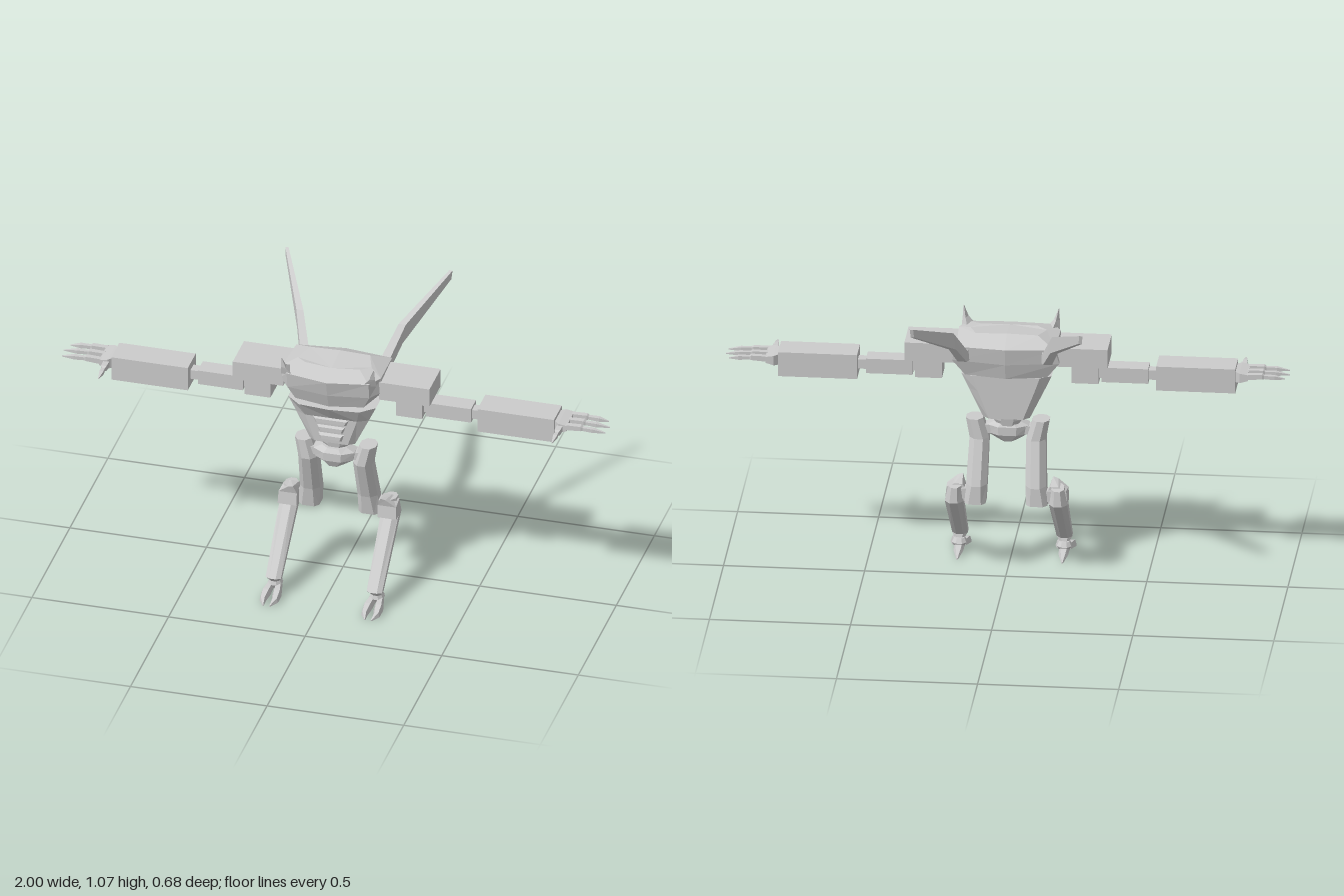
import * as THREE from 'three';

const material = new THREE.MeshStandardMaterial({ color: 0xcccccc, flatShading: true });

function add(parent, name, geometry) {
  const mesh = new THREE.Mesh(geometry, material);
  mesh.name = name;
  parent.add(mesh);
  return mesh;
}

// Closed faceted solid through rings of [x, y, z]; winding is corrected by signed volume
function loft(rings) {
  const n = rings[0].length, tris = [];
  for (let r = 0; r < rings.length - 1; r++) {
    for (let i = 0; i < n; i++) {
      const j = (i + 1) % n, a = rings[r], b = rings[r + 1];
      tris.push([a[i], a[j], b[j]], [a[i], b[j], b[i]]);
    }
  }
  const first = rings[0], last = rings[rings.length - 1];
  for (let i = 1; i < n - 1; i++) {
    tris.push([first[0], first[i + 1], first[i]], [last[0], last[i], last[i + 1]]);
  }
  const v = p => new THREE.Vector3(...p);
  const volume = tris.reduce((sum, [a, b, c]) => sum + v(a).dot(v(b).cross(v(c))), 0);
  const flat = tris.flatMap(([a, b, c]) => (volume < 0 ? [...a, ...c, ...b] : [...a, ...b, ...c]));
  const g = new THREE.BufferGeometry();
  g.setAttribute('position', new THREE.Float32BufferAttribute(flat, 3));
  g.computeVertexNormals();
  return g;
}

// Mirror-symmetric ring from half outline points [x, y, z], front centre to back centre
const sym = half => [...half, ...half.slice(1, -1).reverse().map(([x, y, z]) => [-x, y, z])];

// Level ring with cut corners; tilt raises the front edge and lowers the back
function oct(x0, x1, z0, z1, y, tilt = 0, cut = 0.28) {
  const cx = (x1 - x0) * cut, cz = (z1 - z0) * cut, zm = (z0 + z1) / 2;
  return [[x0 + cx, z0], [x1 - cx, z0], [x1, z0 + cz], [x1, z1 - cz],
    [x1 - cx, z1], [x0 + cx, z1], [x0, z1 - cz], [x0, z0 + cz]]
    .map(([x, z]) => [x, y + (z - zm) * tilt, z]);
}

// Upright rectangle across the x axis
const slab = (x, y, z, h, d) => [[x, y - h / 2, z - d / 2], [x, y + h / 2, z - d / 2],
  [x, y + h / 2, z + d / 2], [x, y - h / 2, z + d / 2]];

function box(parent, name, x0, x1, y0, y1, z0, z1) {
  const g = new THREE.BoxGeometry(Math.abs(x1 - x0), y1 - y0, z1 - z0);
  return add(parent, name, g.translate((x0 + x1) / 2, (y0 + y1) / 2, (z0 + z1) / 2));
}

function buildBody(root) {
  const body = new THREE.Group();
  body.name = 'body';
  root.add(body);
  add(body, 'upperChest', loft([
    sym([[0, .765, .19], [.125, .775, .18], [.15, .785, .13], [.145, .76, .01], [0, .757, -.01]]),
    sym([[0, .82, .21], [.15, .825, .195], [.188, .83, .145], [.19, .82, -.005], [0, .815, -.025]]),
    sym([[0, .88, .225], [.15, .885, .205], [.18, .885, .15], [.175, .875, -.015], [0, .876, -.035]]),
    sym([[0, .9, .15], [.1, .903, .14], [.135, .9, .11], [.11, .907, .04], [0, .91, .04]]),
  ]));
  box(body, 'waistJoint', -.11, .11, .745, .78, .03, .15);
  add(body, 'torso', loft([
    sym([[0, .757, .2], [.11, .757, .19], [.16, .757, .145], [.16, .757, .03], [.12, .757, .007], [0, .757, .007]]),
    sym([[0, .7, .16], [.095, .7, .16], [.133, .7, .14], [.133, .7, .03], [.1, .7, .007], [0, .7, .007]]),
    sym([[0, .596, .155], [.06, .596, .155], [.083, .596, .138], [.083, .596, .03], [.06, .596, .007], [0, .596, .007]]),
  ]));
  // Raised stomach plates
  for (const [y, w] of [[.688, .072], [.655, .055], [.622, .048]]) {
    add(body, 'stomachPlate', loft([
      [[-w, y + .015, .155], [w, y + .015, .155], [w * .8, y - .014, .155], [-w * .8, y - .014, .155]],
      [[-w * .8, y + .007, .168], [w * .8, y + .007, .168], [w * .7, y - .007, .168], [-w * .7, y - .007, .168]],
    ]));
  }
  add(body, 'spine', loft([oct(-.05, .05, .045, .13, .6), oct(-.05, .05, .05, .125, .57), oct(-.03, .03, .055, .12, .54)]));
  add(body, 'pelvis', loft([
    oct(-.045, .045, .06, .135, .56), oct(-.075, .075, .05, .148, .546),
    oct(-.07, .07, .05, .148, .515), oct(-.03, .03, .065, .135, .488),
  ]));
}

function buildHeadgear(root, s) {
  add(root, 'smallHorn', loft([
    [[s * .13, .88, .205], [s * .175, .87, .185], [s * .15, .885, .14]],
    [[s * .152, .905, .205], [s * .172, .905, .198], [s * .16, .907, .18]],
    [[s * .168, .946, .205], [s * .17, .945, .203], [s * .168, .944, .202]],
  ]));
  // Long swept blade, cross-sections from root to tip: upper [z, y], lower [z, y], thickness
  const blade = [[.02, .875, .01, .825, .03], [-.025, .865, -.03, .825, .032],
    [-.105, .963, -.09, .895, .026], [-.34, 1.068, -.334, 1.036, .012]];
  add(root, 'backBlade', loft(blade.map(([z1, y1, z0, y0, t]) => {
    const x = z => .137 - z * .48;
    return [[s * (x(z1) - t / 2), y1, z1], [s * (x(z1) + t / 2), y1, z1],
      [s * (x(z0) + t / 2), y0, z0], [s * (x(z0) - t / 2), y0, z0]];
  })));
}

function buildArm(root, s) {
  const arm = new THREE.Group();
  arm.name = s > 0 ? 'leftArm' : 'rightArm';
  root.add(arm);
  box(arm, 'shoulderBlock', s * .175, s * .36, .803, .873, .01, .158);
  box(arm, 'upperArm', s * .23, s * .325, .73, .805, .04, .13);
  box(arm, 'upperJoint', s * .32, s * .34, .745, .782, .063, .103);
  box(arm, 'middleArm', s * .335, s * .5, .735, .79, .048, .115);
  box(arm, 'elbowJoint', s * .495, s * .535, .745, .78, .063, .103);
  box(arm, 'forearm', s * .53, s * .81, .717, .808, .033, .138);
  // Hand with three tapering fingers and a forward thumb
  add(arm, 'palm', loft([
    slab(s * .805, .776, .083, .04, .07), slab(s * .825, .776, .083, .036, .105), slab(s * .855, .778, .083, .022, .105)]));
  for (const [z, tip] of [[.042, .985], [.082, 1], [.123, .995]]) {
    add(arm, 'finger', loft([
      slab(s * .85, .78, z, .02, .018), slab(s * .905, .783, z, .017, .02),
      slab(s * .912, .781, z, .012, .014), slab(s * .95, .78, z, .014, .016), slab(s * tip, .776, z, .003, .003)]));
  }
  const across = (z, y, h, w) => [[s * .83 - w / 2, y - h / 2, z], [s * .83 + w / 2, y - h / 2, z],
    [s * .83 + w / 2, y + h / 2, z], [s * .83 - w / 2, y + h / 2, z]];
  add(arm, 'thumb', loft([across(.125, .775, .022, .022), across(.165, .776, .02, .02),
    across(.172, .775, .012, .013), across(.195, .775, .014, .015), across(.235, .773, .003, .003)]));
}

function buildLeg(root, s) {
  const leg = new THREE.Group();
  leg.name = s > 0 ? 'leftLeg' : 'rightLeg';
  root.add(leg);
  const solid = (name, rings) =>
    add(leg, name, loft(rings.map(r => r.map(([x, y, z]) => [s * x, y, z]))));
  box(leg, 'hipJoint', s * .06, s * .1, .515, .545, .07, .115);
  solid('thigh', [
    oct(.088, .148, .05, .125, .572), oct(.066, .135, .045, .13, .5),
    oct(.068, .142, -.01, .082, .345, .1), oct(.072, .147, -.012, .07, .273, 0, .2)]);
  box(leg, 'kneeJoint', s * .14, s * .165, .285, .325, .01, .05);
  // Shin with a pointed knee guard on its upper front
  solid('shin', [
    oct(.16, .205, -.008, .06, .335, .1), oct(.152, .217, -.012, .072, .275),
    oct(.157, .213, .22, .268, .068, .2), oct(.172, .2, .215, .24, .045)]);
  solid('kneeGuard', [
    [[.148, .273, .082], [.217, .273, .082], [.217, .273, .02], [.148, .273, .02]],
    [[.148, .32, .077], [.215, .32, .077], [.212, .325, .02], [.148, .325, .02]],
    [[.16, .353, .086], [.178, .348, .084], [.185, .338, .02], [.155, .338, .02]]]);
  // Foot: hub, two splayed front claws and a heel claw
  solid('ankle', [oct(.168, .204, .205, .245, .052), oct(.16, .212, .195, .25, .036), oct(.168, .204, .205, .24, .02)]);
  const claw = (name, parts) => solid(name, parts.map(([x, y, z, w, h]) =>
    [[x - w, y - h, z], [x + w, y - h, z], [x + w * .6, y + h, z], [x - w * .6, y + h, z]]));
  for (const o of [-1, 1]) {
    const c = .186;
    claw('frontClaw', [[c + o * .012, .033, .215, .012, .009], [c + o * .02, .023, .275, .017, .011],
      [c + o * .022, .013, .31, .012, .008], [c + o * .012, .006, .343, .002, .002]]);
  }
  claw('heelClaw', [[.186, .034, .23, .02, .008], [.186, .022, .185, .017, .008], [.186, .002, .137, .003, .002]]);
}

export function createModel() {
  const root = new THREE.Group();
  root.name = 'robot';
  buildBody(root);
  for (const s of [1, -1]) {
    buildHeadgear(root, s);
    buildArm(root, s);
    buildLeg(root, s);
  }
  return root;
}
